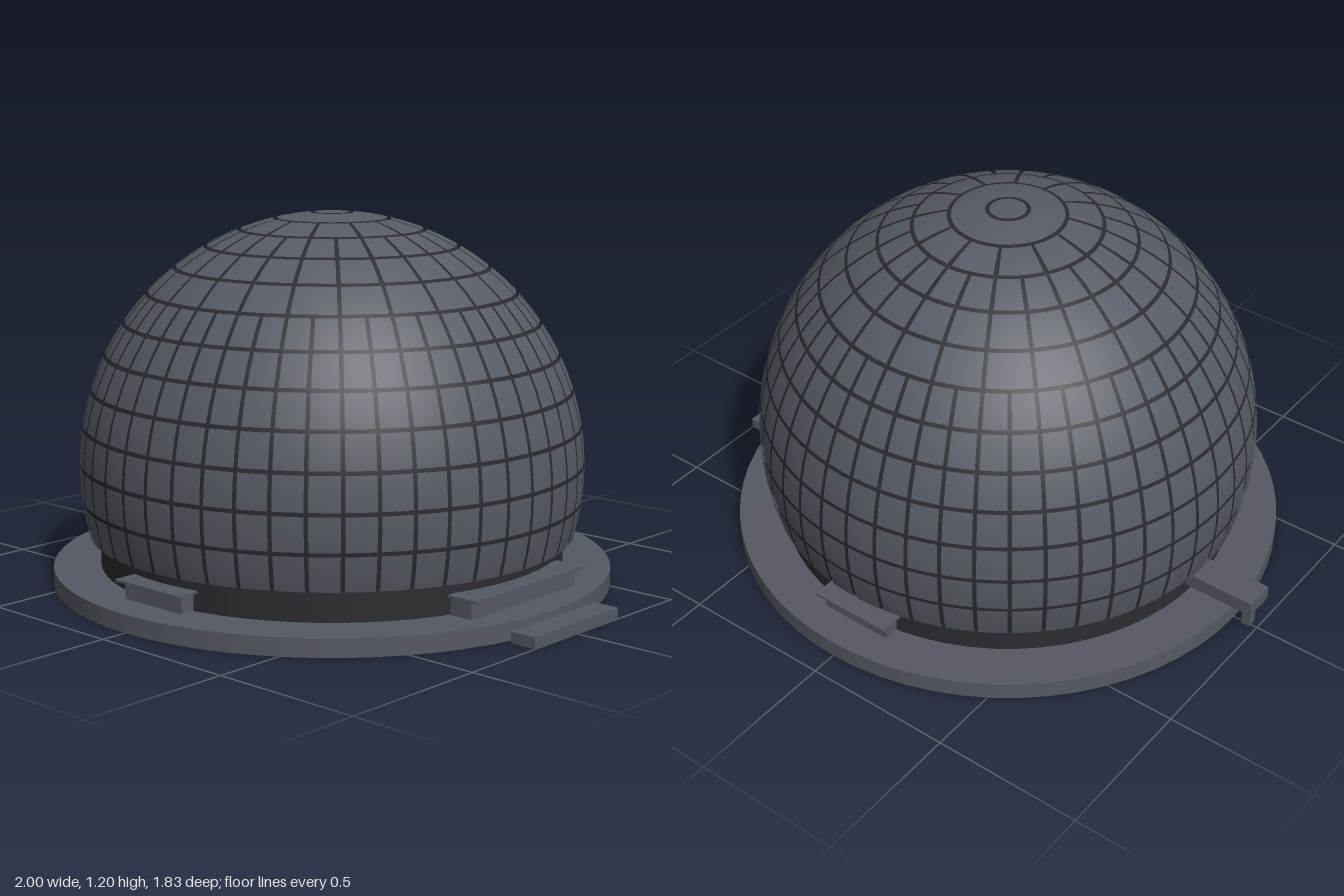
import * as THREE from 'three';
import { mergeGeometries } from 'three/addons/utils/BufferGeometryUtils.js';

const R = 0.824, CENTRE_Y = 0.38;   // dome sphere
const GAP = 0.0065;                 // half the seam width
const LOW = -15.5, STEP = 101 / 12; // latitude of the lowest seam, height of a band
const rad = THREE.MathUtils.degToRad;

export function createModel() {
  const group = new THREE.Group();
  const panel = new THREE.MeshStandardMaterial({ color: 0x575b64 });
  panel.name = 'panelGrey';
  const base = new THREE.MeshStandardMaterial({ color: 0x555962 });
  base.name = 'baseGrey';
  const dark = new THREE.MeshStandardMaterial({ color: 0x2b2b31 });
  dark.name = 'seamDark';

  const add = (name, geometry, material, x = 0, y = 0, z = 0, parent = group) => {
    const mesh = new THREE.Mesh(geometry, material);
    mesh.name = name;
    mesh.position.set(x, y, z);
    parent.add(mesh);
    return mesh;
  };
  // Box given by its lower and upper corners
  const box = (name, a, b, material, parent = group) => add(name,
    new THREE.BoxGeometry(b[0] - a[0], b[1] - a[1], b[2] - a[2]), material,
    (a[0] + b[0]) / 2, (a[1] + b[1]) / 2, (a[2] + b[2]) / 2, parent);

  // Round base plate and recessed drum
  add('basePlate', new THREE.CylinderGeometry(0.915, 0.915, 0.058, 64), base, 0, 0.029);
  add('drum', new THREE.CylinderGeometry(0.76, 0.76, 0.1, 64), dark, 0, 0.108);

  // Dark inner dome, seen through the seams, with its floor
  add('domeCore', new THREE.SphereGeometry(R - 0.008, 96, 48, 0, Math.PI * 2, 0, rad(90 - LOW)),
    dark, 0, CENTRE_Y);
  const floor = new THREE.CircleGeometry(R * Math.cos(rad(LOW)), 64).rotateX(Math.PI / 2);
  add('domeFloor', floor, dark, 0, CENTRE_Y + R * Math.sin(rad(LOW)));

  // Curved panels, band by band; fewer around the top
  const dome = new THREE.Group();
  dome.name = 'domePanels';
  dome.position.y = CENTRE_Y;
  group.add(dome);
  const halfLat = GAP / R;
  for (let band = 0; band < 12; band++) {
    const count = band < 7 ? 48 : band < 10 ? 24 : band < 11 ? 12 : 1;
    const lat = LOW + band * STEP;
    const theta = rad(90 - lat - STEP) + halfLat;
    const height = rad(STEP) - (band === 0 ? 1 : 2) * halfLat;
    const halfLon = count === 1 ? 0 : GAP / (R * Math.cos(rad(lat + STEP / 2)));
    const width = Math.PI * 2 / count;
    const patches = [];
    for (let i = 0; i < count; i++) {
      patches.push(new THREE.SphereGeometry(R, Math.max(2, 48 / count), 2,
        i * width + halfLon, width - 2 * halfLon, theta, height));
    }
    add('panelBand' + (band + 1), mergeGeometries(patches), panel, 0, 0, 0, dome);
  }
  add('domeCap', new THREE.SphereGeometry(R, 32, 3, 0, Math.PI * 2, 0, rad(4.5) - halfLat),
    panel, 0, 0, 0, dome);

  // Housings with a thin lid against the drum: front, back and side
  const housing = (name, halfWidth, angle) => {
    const g = new THREE.Group();
    g.name = name;
    g.rotation.y = angle;
    box(name + 'Body', [-halfWidth, 0.055, 0.72], [halfWidth, 0.115, 0.8], base, g);
    box(name + 'Lid', [-halfWidth - 0.015, 0.115, 0.72], [halfWidth + 0.015, 0.123, 0.828], base, g);
    group.add(g);
  };
  housing('frontHousing', 0.125, 0);
  housing('backHousing', 0.125, Math.PI);
  housing('sideHousing', 0.257, Math.PI / 2);

  // Entrance step on the left
  box('step', [0.912, 0, -0.21], [1, 0.036, 0.21], base);

  // Arm and its short leg on the right
  box('arm', [-1, 0.09, -0.052], [-0.74, 0.138, 0.052], base);
  box('armLeg', [-0.98, 0.005, -0.016], [-0.95, 0.09, 0.016], base);

  return group;
}
